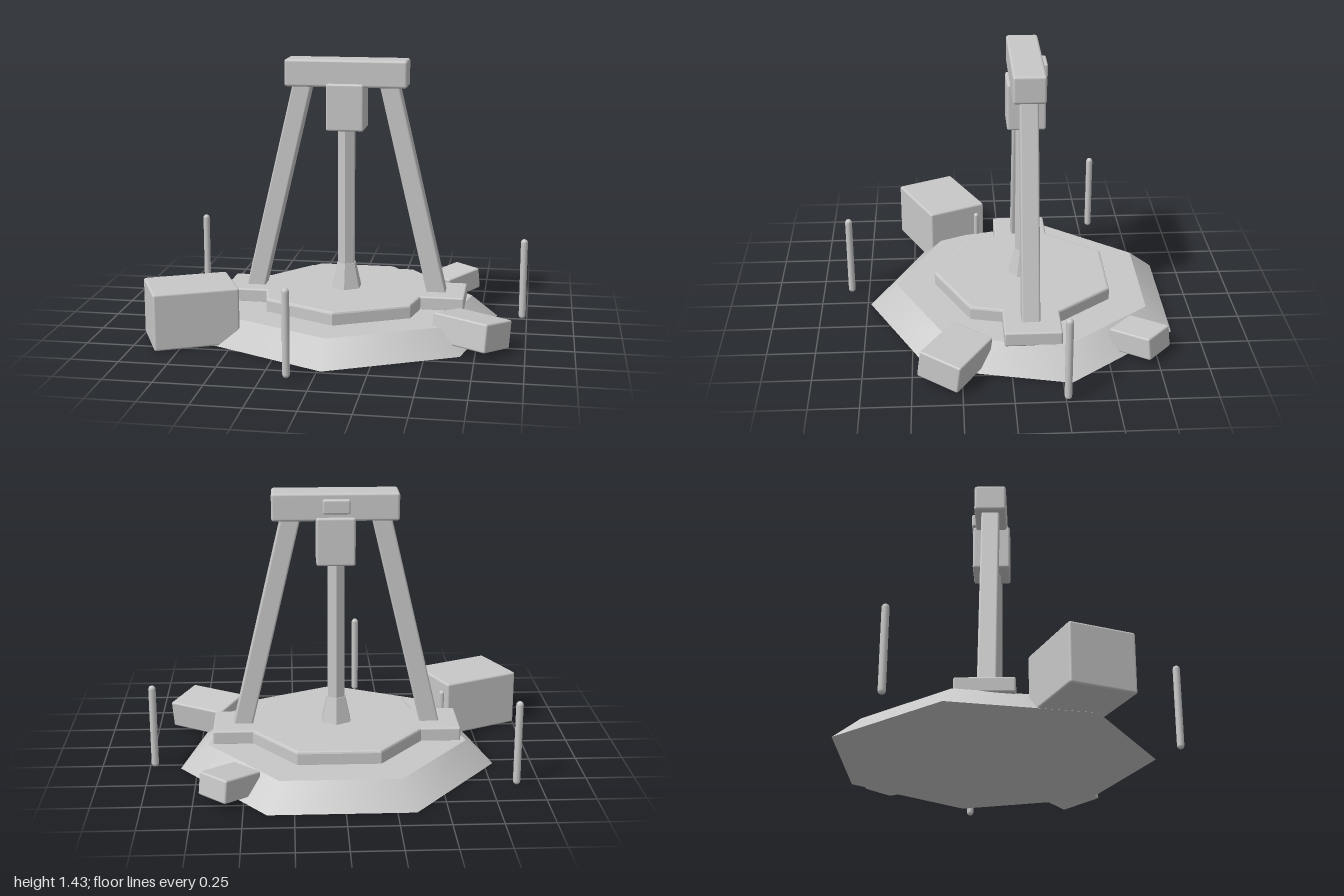
import * as THREE from 'three';
import { RoundedBoxGeometry } from 'three/addons/geometries/RoundedBoxGeometry.js';

const CX = 0.02, CZ = -0.107; // centre of the platform

export function createModel() {
  const model = new THREE.Group();
  const grey = new THREE.MeshStandardMaterial({ color: 0xc8c8c8 });
  grey.name = 'plain grey';

  function add(name, geometry, x, y, z) {
    const mesh = new THREE.Mesh(geometry, grey);
    mesh.name = name;
    mesh.position.set(x, y, z);
    mesh.rotation.order = 'YXZ';
    model.add(mesh);
    return mesh;
  }
  const box = (w, h, d, r = 0.01) => new RoundedBoxGeometry(w, h, d, 2, r);
  // Cylinder with flat-shaded sides
  function prism(top, bottom, h, sides) {
    const g = new THREE.CylinderGeometry(top, bottom, h, sides).toNonIndexed();
    g.computeVertexNormals();
    return g;
  }

  // Seven-sided sloping base
  add('base', new THREE.CylinderGeometry(0.695, 0.84, 0.12, 7), CX, 0.06, CZ);

  // Bevelled seven-sided deck
  const outline = [];
  for (let i = 0; i < 7; i++) {
    const a = (i / 7) * Math.PI * 2;
    outline.push(new THREE.Vector2(Math.sin(a) * 0.475, -Math.cos(a) * 0.475));
  }
  const deck = new THREE.ExtrudeGeometry(new THREE.Shape(outline), {
    depth: 0.06, bevelEnabled: true, bevelThickness: 0.012, bevelSize: 0.012, bevelSegments: 2,
  });
  deck.rotateX(-Math.PI / 2);
  add('deck', deck, CX, 0.118, CZ);

  // Mirrored foot plates and leaning legs
  for (const s of [-1, 1]) {
    add('footPlate', box(0.27, 0.078, 0.295), CX + s * 0.515, 0.151, -0.113);
    const foot = new THREE.Vector2(s * 0.505, 0.14), head = new THREE.Vector2(s * 0.218, 1.36);
    const mid = foot.clone().add(head).multiplyScalar(0.5);
    const leg = add('leg', box(0.1, foot.distanceTo(head), 0.095), CX + mid.x, mid.y, CZ);
    leg.rotation.z = Math.atan2(foot.x - head.x, head.y - foot.y);
  }

  // Crossbeam, hanging block and rear plate
  add('crossbeam', box(0.65, 0.145, 0.168, 0.014), CX + 0.004, 1.362, CZ);
  add('hangingBlock', box(0.2, 0.25, 0.2, 0.012), CX + 0.003, 1.185, CZ);
  add('rearPlate', box(0.14, 0.075, 0.06), CX, 1.368, -0.186);

  // Central drill pole with flared collar
  add('pole', prism(0.05, 0.05, 0.92, 6), CX, 0.63, CZ);
  add('collar', prism(0.055, 0.088, 0.14, 6), CX, 0.257, CZ);

  // Crates around the base
  const large = add('largeCrate', box(0.445, 0.3, 0.338, 0.012), -0.733, 0.151, 0.338);
  large.rotation.y = 0.435;
  const front = add('tiltedCrate', box(0.33, 0.148, 0.235), 0.724, 0.1, 0.284);
  front.rotation.set(-0.14, -0.543, 0);
  const back = add('smallCrate', box(0.245, 0.12, 0.187), 0.569, 0.085, -0.666);
  back.rotation.set(0, 0.829, 0.12);

  // Upright marker rods
  for (const [x, z] of [[-0.88, -0.56], [0.975, -0.26], [-0.13, 0.845]]) {
    add('markerRod', new THREE.CapsuleGeometry(0.019, 0.412, 4, 10), x, 0.226, z);
  }
  add('shortPeg', new THREE.CapsuleGeometry(0.015, 0.13, 4, 10), -0.575, 0.17, 0.135);

  return model;
}
